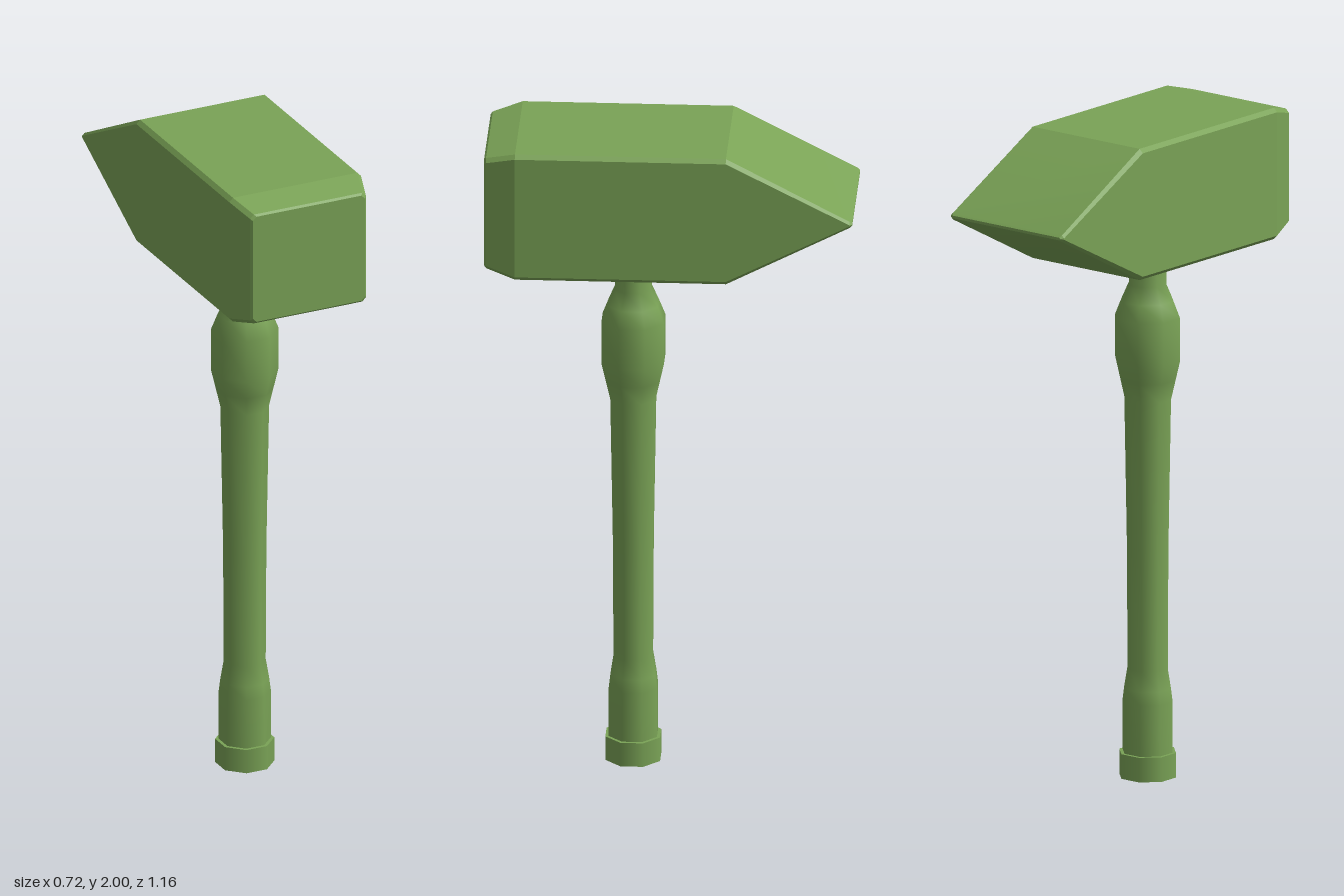
import * as THREE from 'three';
import { toCreasedNormals } from 'three/addons/utils/BufferGeometryUtils.js';

const SIDES = 8;

// Rectangle with cut corners, counter-clockwise seen from +z
function section(z, hw, hh) {
  const b = Math.min(0.012, hh * 0.8);
  return [
    [hw, -hh + b], [hw, hh - b], [hw - b, hh], [-hw + b, hh],
    [-hw, hh - b], [-hw, -hh + b], [-hw + b, -hh], [hw - b, -hh],
  ].map(([x, y]) => [x, y, z]);
}

// Skin closed cross-sections from back to front and close both ends
function loft(rings) {
  const n = rings[0].length;
  const index = [];
  for (let k = 0; k < rings.length - 1; k++) {
    for (let i = 0; i < n; i++) {
      const j = (i + 1) % n;
      const a = k * n + i, b = k * n + j, c = b + n, d = a + n;
      index.push(a, b, c, a, c, d);
    }
  }
  const last = (rings.length - 1) * n;
  for (let i = 1; i < n - 1; i++) {
    index.push(0, i + 1, i);
    index.push(last, last + i, last + i + 1);
  }
  const g = new THREE.BufferGeometry();
  g.setAttribute('position', new THREE.Float32BufferAttribute(rings.flat(2), 3));
  g.setIndex(index);
  return toCreasedNormals(g, 0.2);
}

export function createModel() {
  const group = new THREE.Group();
  group.name = 'hammer';
  const material = new THREE.MeshStandardMaterial({ color: 0x7aa356 });
  const add = (name, geometry, y, turn = 0) => {
    const mesh = new THREE.Mesh(geometry, material);
    mesh.name = name;
    mesh.position.y = y;
    mesh.rotation.y = turn;
    group.add(mesh);
  };

  // Head: wedge peen at the back, chamfered striking face at the front
  add('head', loft([
    section(-0.658, 0.208, 0.004),
    section(-0.65, 0.216, 0.01),
    section(-0.285, 0.216, 0.2),
    section(0.338, 0.216, 0.2),
    section(0.425, 0.19, 0.176),
    section(0.431, 0.184, 0.17),
  ]), 1.8);

  // Handle: swollen grip, slim shaft, bulged shoulder and neck
  const profile = [
    [0.077, 0.05], [0.077, 0.23], [0.072, 0.27], [0.062, 0.33], [0.064, 0.7],
    [0.072, 1.15], [0.086, 1.21], [0.1, 1.27], [0.1, 1.4], [0.08, 1.45],
    [0.058, 1.5], [0.058, 1.65],
  ].map(([r, y]) => new THREE.Vector2(r, y));
  add('handle', new THREE.LatheGeometry(profile, SIDES), 0, Math.PI / 8);

  // Butt cap at the foot of the handle
  add('buttCap', new THREE.CylinderGeometry(0.0875, 0.0875, 0.075, SIDES), 0.0375, Math.PI / 8);

  group.position.set(0.043, 0, 0.11);
  group.rotation.y = 0.311;
  const model = new THREE.Group();
  model.name = 'model';
  model.add(group);
  return model;
}
